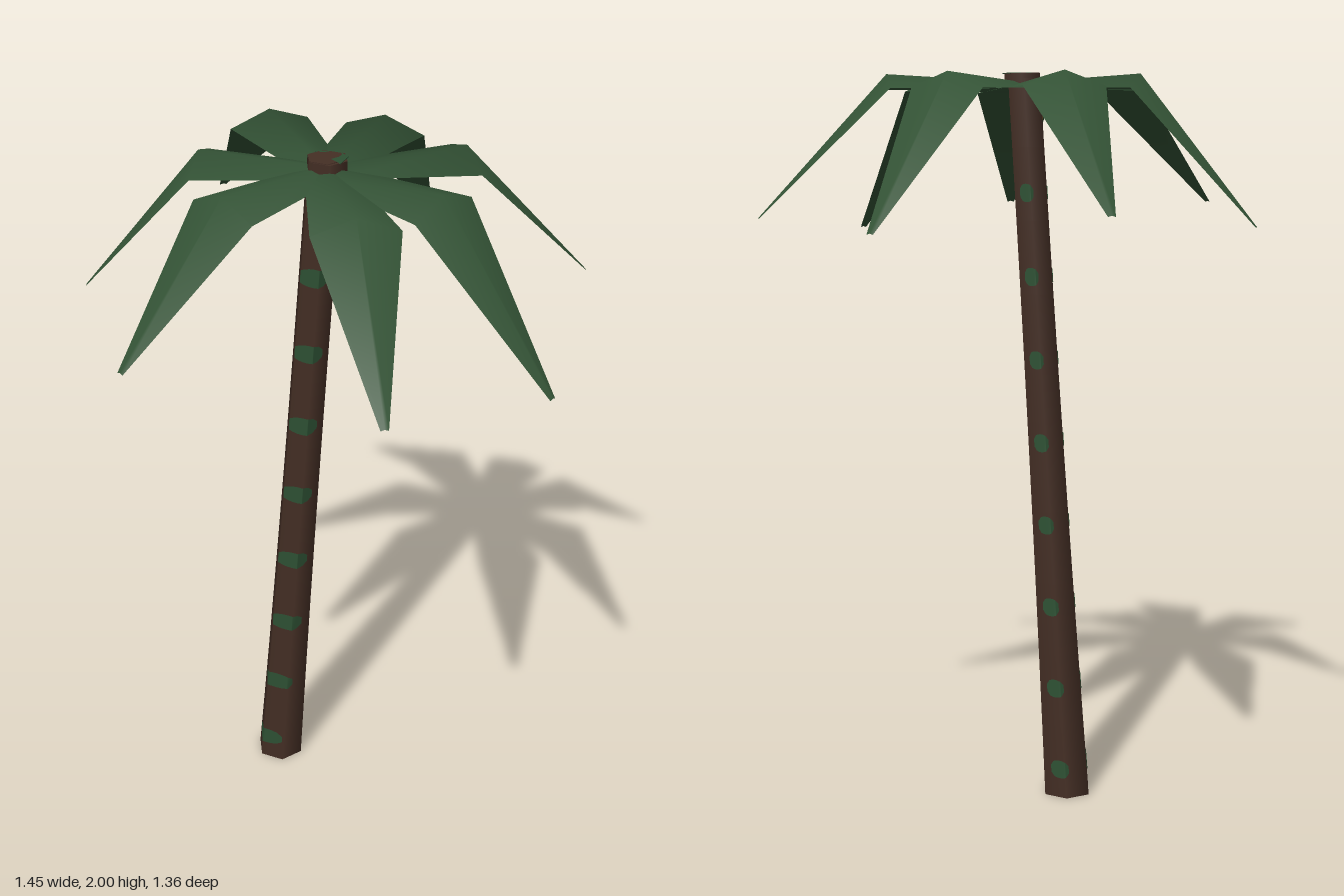
import * as THREE from 'three';

const material = (name, color, side = THREE.FrontSide) => {
  const m = new THREE.MeshStandardMaterial({ color, side });
  m.name = name;
  return m;
};
const bark = material('bark brown', 0x452f25);
const leafGreen = material('leaf green', 0x335235, THREE.DoubleSide);
const mossGreen = material('moss green', 0x2d5033, THREE.DoubleSide);
const fruitGold = material('fruit gold', 0x9c7a30);

const HEIGHT = 2;
const rad = THREE.MathUtils.degToRad;

// Leaning, tapering trunk axis: t runs from 0 at the ground to 1 at the crown
const axis = (t) => new THREE.Vector3(-0.155 + 0.18 * t, HEIGHT * t, 0.04 * (1 - t));
const radius = (t) => 0.05 + 0.02 * (1 - t) ** 2;

function mesh(name, geometry, mat) {
  const m = new THREE.Mesh(geometry, mat);
  m.name = name;
  return m;
}

// Surface through rows of points
function loft(rows) {
  const n = rows[0].length, index = [];
  for (let r = 0; r < rows.length - 1; r++) {
    for (let c = 0; c < n - 1; c++) {
      const a = r * n + c, b = a + n;
      index.push(a, b, a + 1, a + 1, b, b + 1);
    }
  }
  const g = new THREE.BufferGeometry().setFromPoints(rows.flat());
  g.setIndex(index);
  g.computeVertexNormals();
  return g;
}

// Six-sided trunk, bent along the axis
function trunk() {
  const g = new THREE.CylinderGeometry(1, 1, 1, 6, 10);
  const p = g.attributes.position;
  for (let i = 0; i < p.count; i++) {
    const t = p.getY(i) + 0.5, c = axis(t), r = radius(t);
    p.setXYZ(i, c.x + p.getX(i) * r, c.y, c.z + p.getZ(i) * r);
  }
  return mesh('trunk', g, bark);
}

// Thin moss patch hugging the six-sided trunk; angles are measured from +z towards +x
function moss(y, centre, spread, halfHeight) {
  const angles = [];
  for (let i = 0; i <= 6; i++) angles.push(centre + spread * (i / 3 - 1));
  for (let corner = -360; corner <= 360; corner += 60) {
    if (Math.abs(corner - centre) < spread) angles.push(corner);
  }
  angles.sort((a, b) => a - b);
  const rows = angles.map((a) => {
    const u = (a - centre) / spread;
    const h = halfHeight * (0.4 + 0.6 * Math.sqrt(Math.max(0, 1 - u * u)));
    const fromFace = (((a % 60) + 60) % 60) - 30;
    return [y + h, y - h].map((py) => {
      const t = py / HEIGHT, c = axis(t);
      const r = radius(t) * Math.cos(rad(30)) / Math.cos(rad(fromFace)) + 0.002;
      return new THREE.Vector3(c.x + r * Math.sin(rad(a)), py, c.z + r * Math.cos(rad(a)));
    });
  });
  return mesh('mossPatch', loft(rows), mossGreen);
}

// Fronds: tip x, y, z, then x, z of the two corners at the bend
const FRONDS = [
  [-0.30, 1.59, -0.61, -0.24, -0.26, -0.04, -0.37],
  [0.285, 1.61, -0.68, 0.05, -0.39, 0.265, -0.315],
  [0.72, 1.56, -0.18, 0.355, -0.205, 0.41, 0.015],
  [0.70, 1.63, 0.32, 0.42, 0.06, 0.32, 0.26],
  [0.125, 1.64, 0.68, 0.19, 0.335, -0.03, 0.36],
  [-0.455, 1.59, 0.445, -0.14, 0.305, -0.295, 0.145],
  [-0.725, 1.64, -0.17, -0.38, 0.02, -0.335, -0.20],
];

// Folded blade with a raised midrib, widest at the bend and narrow at the tip
function frond([tx, ty, tz, lx, lz, rx, rz]) {
  const v = (x, y, z) => new THREE.Vector3(x, y, z);
  const left = v(lx, 1.955, lz), right = v(rx, 1.955, rz);
  const rib = left.clone().add(right).multiplyScalar(0.5).setY(1.995);
  const across = right.clone().sub(left).normalize();
  const section = (centre, half, drop) => [-1, 0, 1].map((s) =>
    centre.clone().addScaledVector(across, s * half).add(v(0, -drop * Math.abs(s), 0)));
  const root = v(0.025, 1.975, 0), tip = v(tx, ty, tz);
  return mesh('frond', loft([
    section(root, 0.055, 0.015),
    [left, rib, right],
    section(tip, 0.01, 0.003),
  ]), leafGreen);
}

export function createModel() {
  const model = new THREE.Group();
  model.name = 'palmTree';
  model.add(trunk());

  // Moss up the trunk, turning slightly with height
  const patches = new THREE.Group();
  patches.name = 'moss';
  for (let i = 0; i < 8; i++) {
    const y = 0.08 + i * 0.228;
    patches.add(moss(y, Math.min(45, 5 + i * 18), 50, 0.027));
    patches.add(moss(y, 225, 24, 0.025));
  }
  model.add(patches);

  // Crown cap, its rear half mossy
  const cap = mesh('crownCap', new THREE.CylinderGeometry(0.055, 0.055, 0.03, 6), bark);
  cap.position.set(0.028, 1.983, -0.004);
  const capMoss = mesh('crownMoss',
    new THREE.CylinderGeometry(0.054, 0.054, 0.002, 3, 1, false, Math.PI / 2, Math.PI), mossGreen);
  capMoss.position.set(0.028, 1.999, -0.004);
  model.add(cap, capMoss);

  const crown = new THREE.Group();
  crown.name = 'fronds';
  FRONDS.forEach((f) => crown.add(frond(f)));
  model.add(crown);

  // Fruit hanging beside the trunk
  const fruit = mesh('fruit', new THREE.SphereGeometry(1, 8, 6), fruitGold);
  fruit.scale.set(0.033, 0.06, 0.033);
  fruit.position.set(0.075, 1.9, 0.055);
  model.add(fruit);

  return model;
}
